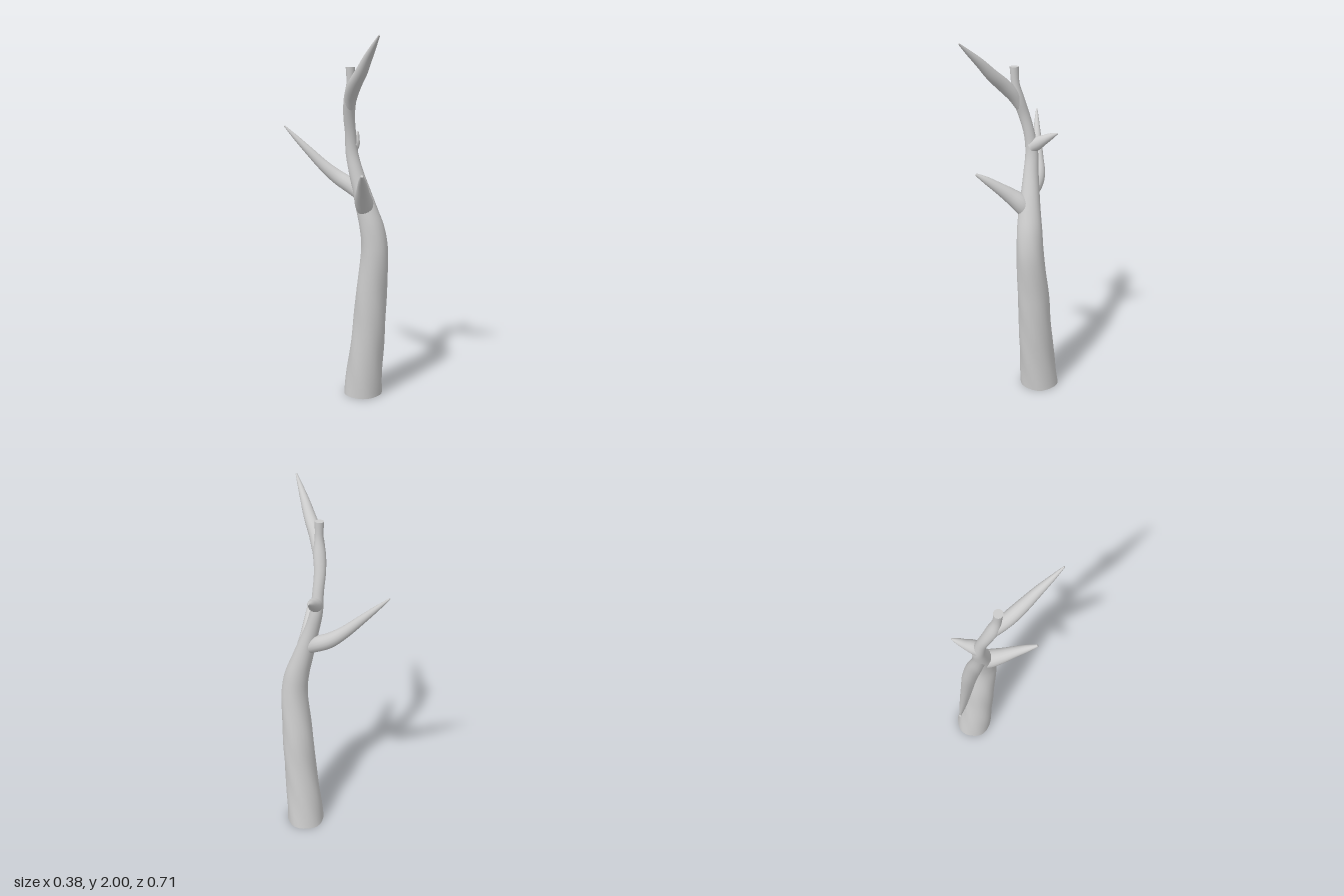
import * as THREE from 'three';

const material = new THREE.MeshStandardMaterial({ color: 0xcccccc });

// Tapered limb through stations [x, y, z, radius]; level rings or rings square to the path
function limb(name, stations, { sides = 16, steps = 28, level = false, bump = 0 } = {}) {
  const path = new THREE.CatmullRomCurve3(stations.map(s => new THREE.Vector3(s[0], s[1], s[2])));
  const radii = new THREE.CatmullRomCurve3(stations.map((s, i) => new THREE.Vector3(i, s[3], 0)));
  const frames = path.computeFrenetFrames(steps);
  const pos = [], index = [];
  const X = new THREE.Vector3(1, 0, 0), Z = new THREE.Vector3(0, 0, -1);
  for (let i = 0; i <= steps; i++) {
    const u = i / steps, t = path.getUtoTmapping(u);
    const c = path.getPoint(t), r = radii.getPoint(t).y;
    const a = level ? X : frames.normals[i], b = level ? Z : frames.binormals[i];
    for (let j = 0; j < sides; j++) {
      const q = j / sides * Math.PI * 2;
      // shallow bark swellings that fade with height
      const k = r * (1 + bump * (1 - u) * Math.sin(3 * q + 9 * u) * Math.cos(26 * u + 2 * q));
      const p = c.clone().addScaledVector(a, Math.cos(q) * k).addScaledVector(b, Math.sin(q) * k);
      pos.push(p.x, p.y, p.z);
      if (i < steps) {
        const m = i * sides + j, n = i * sides + (j + 1) % sides;
        index.push(m, n, m + sides, n, n + sides, m + sides);
      }
    }
  }
  // end caps with their own rim vertices, so the edges stay sharp
  for (const end of [0, steps]) {
    const c = path.getPointAt(end / steps), first = pos.length / 3;
    pos.push(c.x, c.y, c.z);
    for (let j = 0; j < sides; j++) {
      const o = (end * sides + j) * 3;
      pos.push(pos[o], pos[o + 1], pos[o + 2]);
      const m = first + 1 + j, n = first + 1 + (j + 1) % sides;
      index.push(first, ...(end ? [m, n] : [n, m]));
    }
  }
  const geo = new THREE.BufferGeometry();
  geo.setAttribute('position', new THREE.Float32BufferAttribute(pos, 3));
  geo.setIndex(index);
  geo.computeVertexNormals();
  const mesh = new THREE.Mesh(geo, material);
  mesh.name = name;
  return mesh;
}

export function createModel() {
  const tree = new THREE.Group();
  tree.name = 'bareTree';

  // leaning, tapering trunk with a snapped-off top
  tree.add(limb('trunk', [
    [0.08, 0.005, 0.002, 0.109], [0.08, 0.2, 0.022, 0.1], [0.08, 0.4, 0.045, 0.092],
    [0.08, 0.6, 0.065, 0.087], [0.079, 0.87, 0.092, 0.074], [0.066, 1.0, 0.08, 0.068],
    [0.05, 1.1, 0.056, 0.059], [0.035, 1.2, 0.03, 0.049], [0.02, 1.3, 0.003, 0.04],
    [0.01, 1.4, -0.018, 0.034], [-0.003, 1.5, -0.014, 0.03], [-0.027, 1.6, 0, 0.031],
    [-0.045, 1.69, 0.026, 0.033], [-0.053, 1.77, 0.04, 0.022], [-0.057, 1.852, 0.042, 0.024],
  ], { sides: 24, steps: 64, level: true, bump: 0.04 }));

  // long branch at the top, reaching forward
  tree.add(limb('topBranch', [
    [-0.034, 1.63, 0.012, 0.024], [-0.055, 1.7, 0.045, 0.034], [-0.08, 1.762, 0.1, 0.036],
    [-0.1, 1.822, 0.168, 0.032], [-0.12, 1.89, 0.235, 0.024], [-0.14, 1.95, 0.3, 0.014],
    [-0.155, 1.998, 0.352, 0.004],
  ]));

  // long branch reaching backward
  tree.add(limb('backBranch', [
    [0.032, 1.17, 0.02, 0.032], [0.018, 1.215, -0.04, 0.042], [-0.01, 1.255, -0.105, 0.04],
    [-0.055, 1.315, -0.168, 0.032], [-0.105, 1.395, -0.235, 0.024], [-0.15, 1.468, -0.295, 0.015],
    [-0.189, 1.534, -0.35, 0.004],
  ]));

  // shorter branch lower on the front right
  tree.add(limb('lowerBranch', [
    [0.045, 1.07, 0.055, 0.04], [0.012, 1.13, 0.076, 0.05], [-0.035, 1.182, 0.115, 0.041],
    [-0.08, 1.23, 0.16, 0.03], [-0.125, 1.275, 0.204, 0.02], [-0.163, 1.31, 0.241, 0.007],
  ]));

  // short pointed spur on the left
  tree.add(limb('spur', [
    [0.005, 1.425, -0.015, 0.035], [0.035, 1.447, -0.032, 0.036], [0.065, 1.466, -0.054, 0.026],
    [0.095, 1.485, -0.073, 0.017], [0.124, 1.5, -0.091, 0.004],
  ], { steps: 14 }));

  return tree;
}
